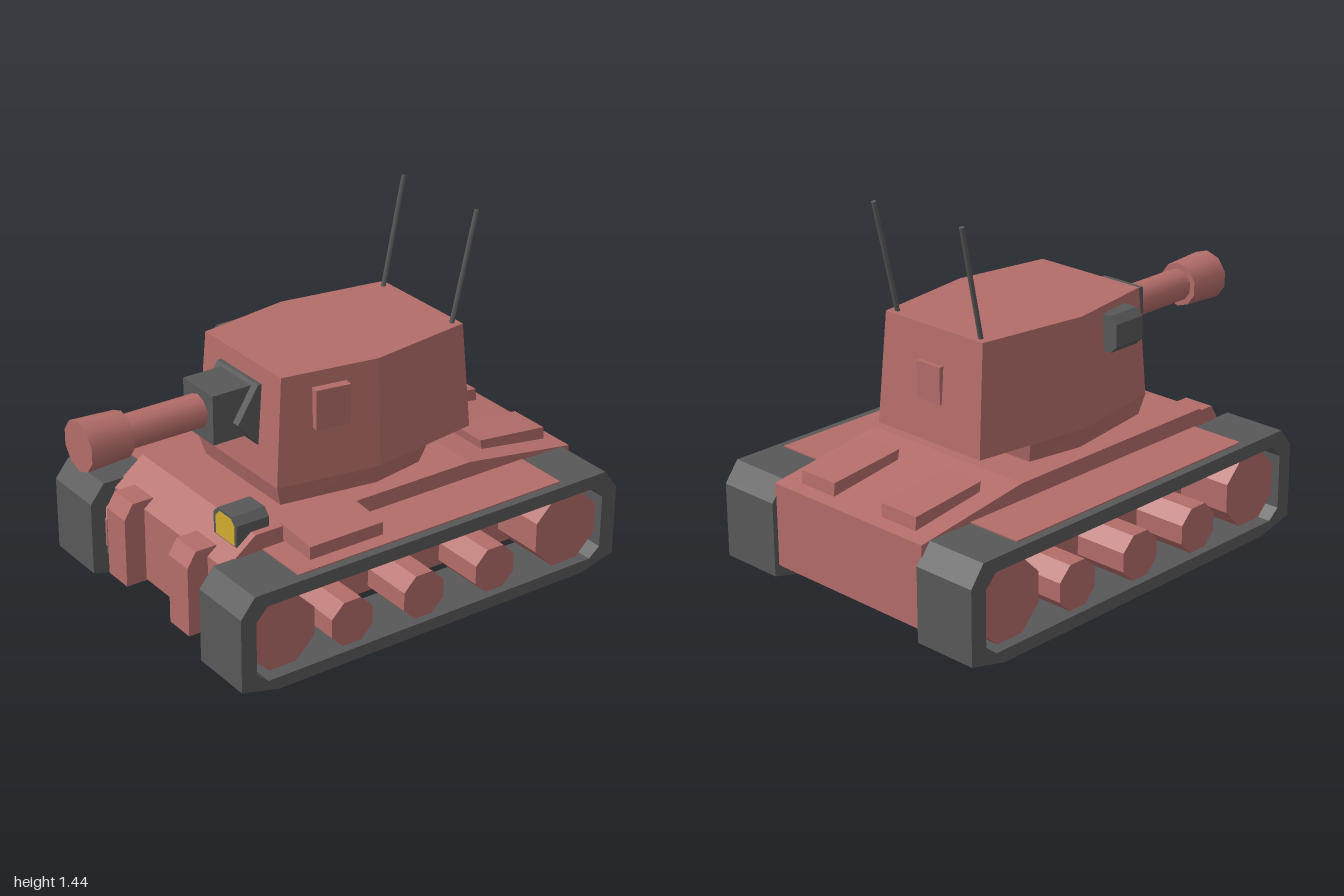
import * as THREE from 'three';

const red = new THREE.MeshStandardMaterial({ color: 0xb36d69 });
red.name = 'dusty red armour';
const grey = new THREE.MeshStandardMaterial({ color: 0x585858 });
grey.name = 'dark grey metal';
const yellow = new THREE.MeshStandardMaterial({ color: 0xd2ac2e });
yellow.name = 'yellow lamp glass';

const shapeOf = pts => new THREE.Shape(pts.map(p => new THREE.Vector2(...p)));

// Extrudes a (z, y) side profile across x0..x1
function sideExtrude(pts, x0, x1, hole) {
  const shape = shapeOf(pts);
  if (hole) shape.holes.push(new THREE.Path(hole.map(p => new THREE.Vector2(...p))));
  const g = new THREE.ExtrudeGeometry(shape, { depth: x1 - x0, bevelEnabled: false });
  return g.rotateY(-Math.PI / 2).translate(x1, 0, 0);
}

// Extrudes an (x, y) front profile along z0..z1
function frontExtrude(pts, z0, z1) {
  return new THREE.ExtrudeGeometry(shapeOf(pts), { depth: z1 - z0, bevelEnabled: false }).translate(0, 0, z0);
}

function box(x0, x1, y0, y1, z0, z1) {
  return new THREE.BoxGeometry(x1 - x0, y1 - y0, z1 - z0)
    .translate((x0 + x1) / 2, (y0 + y1) / 2, (z0 + z1) / 2);
}

// Flat-faced solid through horizontal rings, lowest first
function loft(rings) {
  const v = [];
  const tri = (a, b, c) => v.push(...a, ...b, ...c);
  const n = rings[0].length;
  for (let r = 0; r < rings.length - 1; r++) {
    const a = rings[r], b = rings[r + 1];
    for (let i = 0; i < n; i++) {
      const j = (i + 1) % n;
      tri(a[i], a[j], b[j]);
      tri(a[i], b[j], b[i]);
    }
  }
  const low = rings[0], top = rings[rings.length - 1];
  for (let i = 1; i < n - 1; i++) {
    tri(top[0], top[i], top[i + 1]);
    tri(low[0], low[i + 1], low[i]);
  }
  const g = new THREE.BufferGeometry();
  g.setAttribute('position', new THREE.Float32BufferAttribute(v, 3));
  g.computeVertexNormals();
  return g;
}

// Six-sided turret ring: front, widest and rear points mirrored in x
function turretRing(y, xf, zf, xw, xb, zb) {
  const half = [[xf, y, zf], [xw, y, -0.09], [xb, y, zb]];
  return [...half, ...half.slice().reverse().map(([x, h, z]) => [-x, h, z])];
}

// Octagonal wheel with flat faces, axle along x
function wheelGeometry(apothem, x0, x1) {
  const r = apothem / Math.cos(Math.PI / 8);
  const g = new THREE.CylinderGeometry(r, r, x1 - x0, 8).rotateY(Math.PI / 8).rotateZ(Math.PI / 2).toNonIndexed();
  g.computeVertexNormals();
  return g.translate((x0 + x1) / 2, 0, 0);
}

export function createModel() {
  const model = new THREE.Group();
  model.name = 'tank';
  const add = (name, geometry, material, parent = model) => {
    const m = new THREE.Mesh(geometry, material);
    m.name = name;
    parent.add(m);
    return m;
  };

  // Hull with sloped nose and rear deck
  add('hull', sideExtrude([[0.64, 0.08], [0.64, 0.385], [0.51, 0.485], [-0.48, 0.485],
    [-0.98, 0.41], [-0.98, 0.08]], -0.388, 0.388), red);

  // Tracks, fender plates and wheels on both sides
  const outer = [[0.75, 0.04], [0.75, 0.34], [0.69, 0.415], [-0.94, 0.415],
    [-1, 0.335], [-1, 0.04], [-0.84, 0], [0.59, 0]];
  const inner = [[0.685, 0.09], [0.685, 0.31], [0.635, 0.36], [-0.88, 0.36],
    [-0.93, 0.31], [-0.93, 0.09], [-0.88, 0.05], [0.635, 0.05]];
  const wheels = [[0.55, 0.205, 0.14], [0.24, 0.14, 0.092], [-0.09, 0.14, 0.092],
    [-0.43, 0.14, 0.092], [-0.78, 0.205, 0.148]];
  for (const s of [1, -1]) {
    const side = s > 0 ? 'left' : 'right';
    const span = (a, b) => (s > 0 ? [a, b] : [-b, -a]);
    add(side + 'Track', sideExtrude(outer, ...span(0.382, 0.65), inner), grey);
    add(side + 'FenderPlate', box(...span(0.38, 0.615), 0.412, 0.42, -0.74, 0.48), red);
    for (const [z, y, a] of wheels) {
      add(side + 'Wheel', wheelGeometry(a, ...span(0.37, 0.615)), red).position.set(0, y, z);
    }
    // Sloping engine cover
    add(side + 'EngineCover', sideExtrude([[-0.61, 0.45], [-0.6, 0.505], [-0.92, 0.47],
      [-0.925, 0.41]], ...span(0.125, 0.3)), red);
  }

  // Nose brackets
  for (const x of [-0.3, 0.138]) {
    add('noseBracket', sideExtrude([[0.6, 0.075], [0.6, 0.42], [0.69, 0.42], [0.727, 0.36],
      [0.727, 0.075]], x, x + 0.13), red);
  }

  // Stowage box on the left fender
  add('stowageBox', frontExtrude([[0.37, 0.428], [0.56, 0.424], [0.56, 0.476], [0.37, 0.492]], 0.065, 0.39), red);

  // Turret: narrow foot and overhanging body
  add('turretFoot', loft([turretRing(0.48, 0.25, 0.305, 0.31, 0.27, -0.32),
    turretRing(0.565, 0.265, 0.33, 0.335, 0.296, -0.34)]), red);
  add('turretBody', loft([turretRing(0.565, 0.265, 0.33, 0.335, 0.265, -0.57),
    turretRing(1, 0.25, 0.3, 0.315, 0.25, -0.535)]), red);
  const hatch = add('sideHatch', new THREE.BoxGeometry(0.045, 0.16, 0.14), red);
  hatch.position.set(0.298, 0.86, 0.112);
  hatch.rotation.y = -0.165;
  add('rearHatch', box(-0.06, 0.06, 0.72, 0.865, -0.566, -0.53), red);

  // Gun mantlet and mount
  add('mantlet', sideExtrude([[0.28, 0.69], [0.325, 0.69], [0.41, 0.79], [0.32, 0.932], [0.28, 0.932]],
    -0.138, 0.132), grey);
  add('gunMount', box(-0.102, 0.097, 0.722, 0.92, 0.3, 0.495), grey);

  // Barrel and flared muzzle
  const gun = new THREE.Group();
  gun.name = 'gun';
  gun.position.set(-0.004, 0.826, 0);
  model.add(gun);
  const tube = (r0, r1, z0, z1) => new THREE.CylinderGeometry(r1, r0, z1 - z0, 10)
    .rotateX(Math.PI / 2).translate(0, 0, (z0 + z1) / 2);
  add('barrel', tube(0.066, 0.066, 0.48, 0.83), red, gun);
  add('muzzle', tube(0.09, 0.1, 0.82, 1), red, gun);

  // Lamp: chamfered housing with a thin glass plate on its front
  function lamp(name, housing, glass, z0, z1) {
    const g = new THREE.Group();
    g.name = name;
    model.add(g);
    add('lampHousing', frontExtrude(housing, z0, z1), grey, g);
    add('lampGlass', frontExtrude(glass, z1, z1 + 0.003), yellow, g);
  }
  lamp('hullLamp',
    [[0.208, 0.438], [0.358, 0.438], [0.358, 0.525], [0.33, 0.553], [0.236, 0.553], [0.208, 0.525]],
    [[0.226, 0.443], [0.347, 0.443], [0.347, 0.518], [0.324, 0.542], [0.25, 0.542], [0.226, 0.518]],
    0.43, 0.572);
  lamp('turretLamp',
    [[-0.26, 0.825], [-0.26, 0.97], [-0.333, 0.97], [-0.361, 0.942], [-0.361, 0.853], [-0.333, 0.825]],
    [[-0.272, 0.84], [-0.272, 0.957], [-0.328, 0.957], [-0.351, 0.933], [-0.351, 0.863], [-0.328, 0.84]],
    0.05, 0.195);

  // Raked rear antennas
  for (const [x0, x1] of [[0.219, 0.227], [-0.211, -0.22]]) {
    const path = new THREE.LineCurve3(new THREE.Vector3(x0, 0.97, -0.499), new THREE.Vector3(x1, 1.437, -0.603));
    const dir = path.v2.clone().sub(path.v1);
    const rod = add('antenna', new THREE.CylinderGeometry(0.01, 0.01, dir.length(), 6), grey);
    rod.position.copy(path.getPoint(0.5));
    rod.quaternion.setFromUnitVectors(new THREE.Vector3(0, 1, 0), dir.normalize());
  }

  return model;
}
